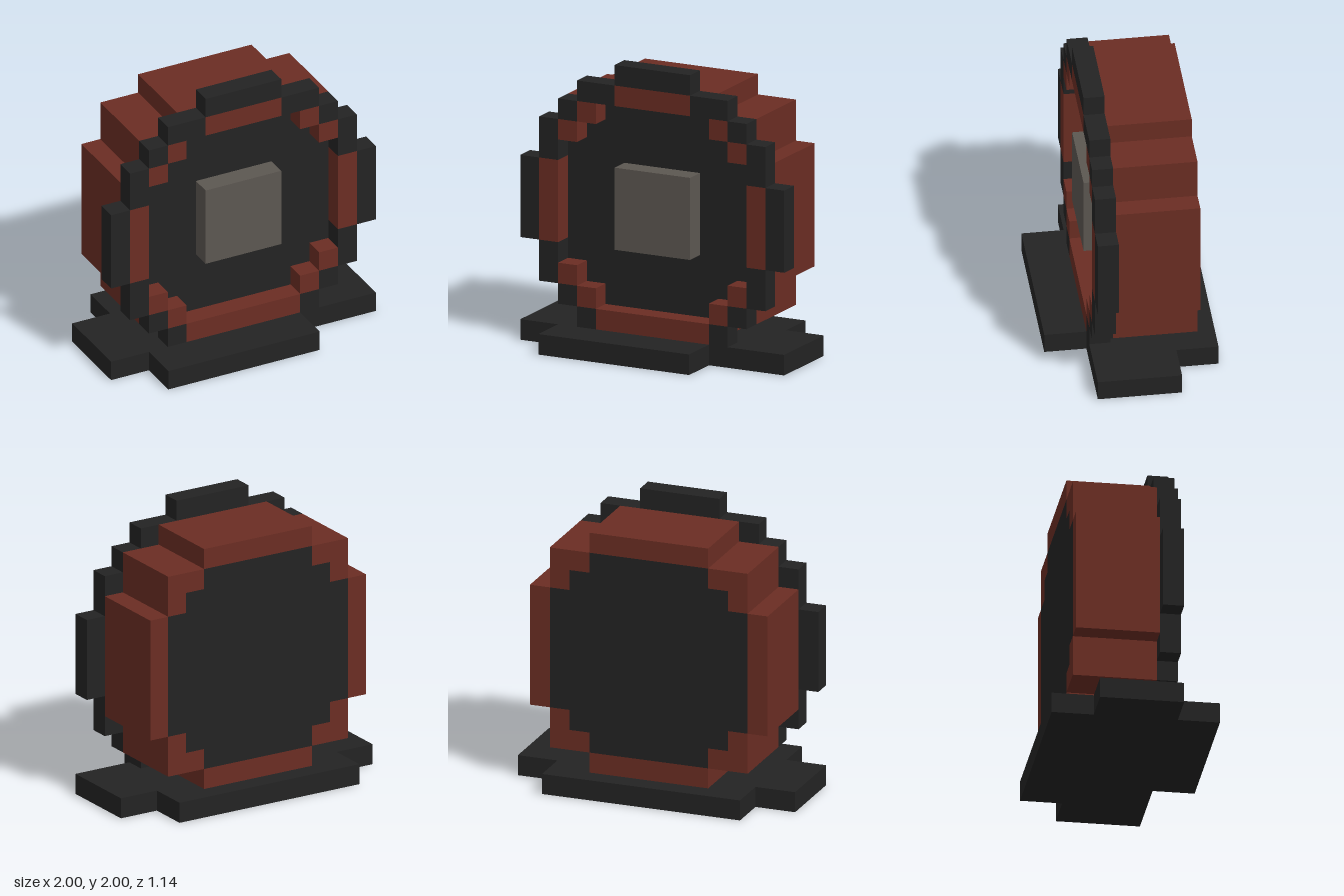
import * as THREE from 'three';

const U = 2 / 14; // one block
const charcoal = new THREE.MeshStandardMaterial({ color: 0x232323 });
charcoal.name = 'charcoal';
const rust = new THREE.MeshStandardMaterial({ color: 0x6b2d23 });
rust.name = 'rust red';
const stone = new THREE.MeshStandardMaterial({ color: 0x5c5751 });
stone.name = 'warm grey';

function addMesh(parent, name, geometry, material) {
  const mesh = new THREE.Mesh(geometry, material);
  mesh.name = name;
  parent.add(mesh);
  return mesh;
}

// Box given by its limits in blocks
function block(parent, name, material, x0, x1, y0, y1, z0, z1) {
  const geometry = new THREE.BoxGeometry((x1 - x0) * U, (y1 - y0) * U, (z1 - z0) * U);
  geometry.translate((x0 + x1) * U / 2, (y0 + y1) * U / 2, (z0 + z1) * U / 2);
  return addMesh(parent, name, geometry, material);
}

// Stepped round outline about y = 7 from corner points of one quadrant
function steppedPoints(quadrant) {
  const upper = [...quadrant, ...quadrant.map(([x, y]) => [-x, y]).reverse()];
  const lower = upper.map(([x, y]) => [-x, -y]);
  return [...upper, ...lower].map(([x, y]) => new THREE.Vector2(x * U, (y + 7) * U));
}

function extrude(shape, z0, z1) {
  const geometry = new THREE.ExtrudeGeometry(shape, { depth: (z1 - z0) * U, bevelEnabled: false });
  return geometry.translate(0, 0, z0 * U);
}

// Pieces of the front, [x0, x1, y0, y1] in blocks, mirrored when off centre
function mirroredBlocks(parent, name, material, cells) {
  const group = new THREE.Group();
  group.name = name;
  parent.add(group);
  for (const [x0, x1, y0, y1] of cells) {
    block(group, name + 'Block', material, x0, x1, y0, y1, 1, 2);
    if (x0 > 0) block(group, name + 'Block', material, -x1, -x0, y0, y1, 1, 2);
  }
}

export function createModel() {
  const model = new THREE.Group();
  model.name = 'blockDrum';

  // Foot plate: wide wings, back step and offset front step
  const plan = [[-7, -2], [-5, -2], [-5, -4], [3, -4], [3, -2], [7, -2],
    [7, 2], [5, 2], [5, 4], [-5, 4], [-5, 2], [-7, 2]];
  const plate = new THREE.Shape(plan.map(([x, y]) => new THREE.Vector2(x * U, y * U)));
  addMesh(model, 'footPlate', extrude(plate, 0, 1).rotateX(-Math.PI / 2), charcoal);

  // Red drum shell around a dark core
  const corePoints = steppedPoints([[5, 3], [4, 3], [4, 4], [3, 4], [3, 5]]);
  const shell = new THREE.Shape(steppedPoints([[6, 3], [5, 3], [5, 5], [3, 5], [3, 6]]));
  shell.holes.push(new THREE.Path(corePoints));
  addMesh(model, 'drumShell', extrude(shell, -3, 1), rust);
  addMesh(model, 'drumCore', extrude(new THREE.Shape(corePoints), -3, 1), charcoal);

  // Raised red ring on the front
  mirroredBlocks(model, 'frontRing', rust, [
    [-2, 2, 12, 13], [3, 4, 11, 12], [4, 5, 10, 11], [5, 6, 5, 9],
    [4, 5, 3, 4], [3, 4, 2, 3], [-3, 3, 1, 2],
  ]);

  // Dark outer rim
  mirroredBlocks(model, 'outerRim', charcoal, [
    [-2, 2, 13, 14], [2, 4, 12, 13], [4, 5, 11, 12], [5, 6, 9, 11], [6, 7, 5, 9],
    [5, 6, 3, 5], [4, 5, 2, 3], [3, 4, 1, 2],
  ]);

  // Grey centre block
  block(model, 'centreBlock', stone, -2, 2, 5, 9, 1, 2);

  return model;
}
